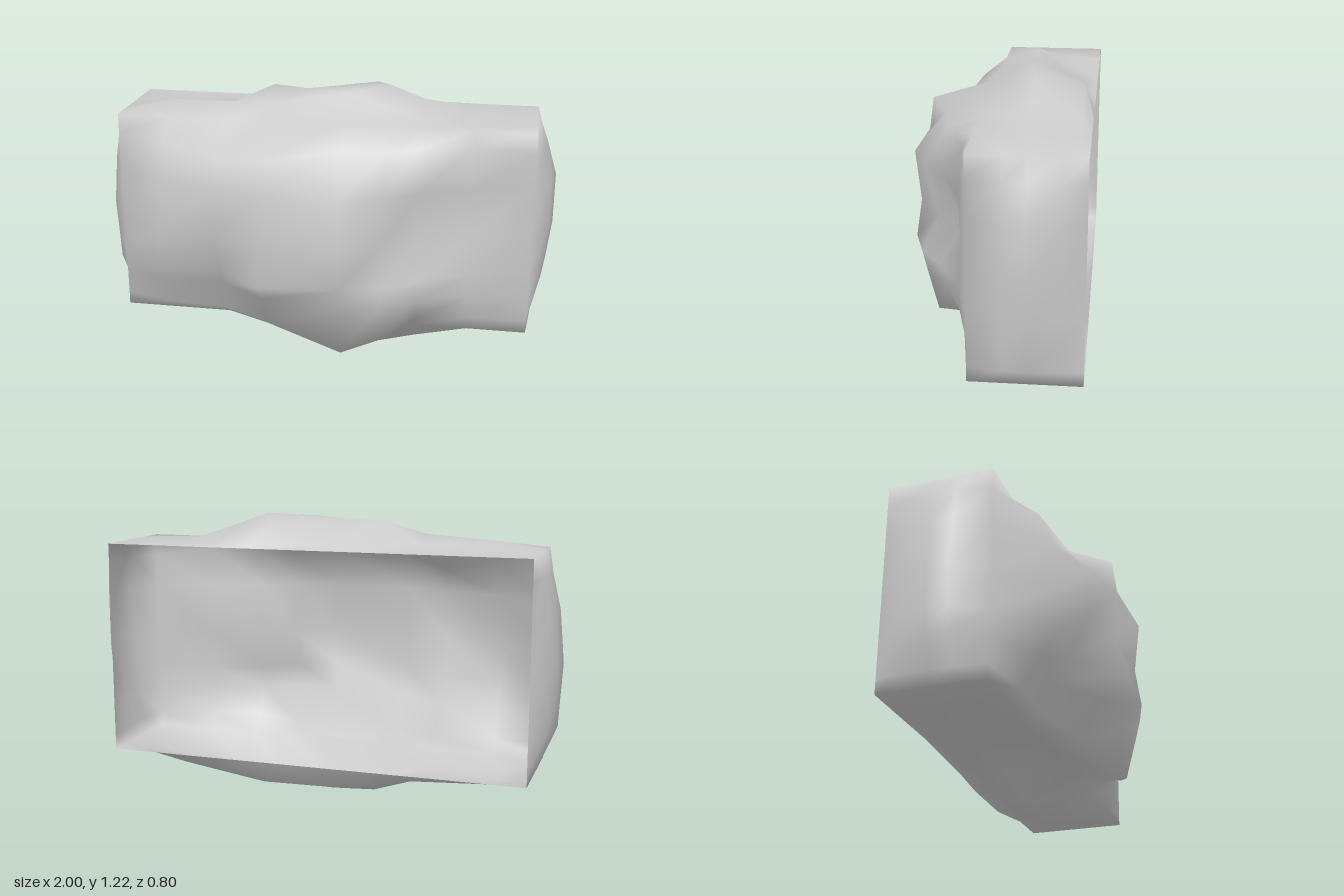
import * as THREE from 'three';
import { mergeGeometries, mergeVertices } from 'three/addons/utils/BufferGeometryUtils.js';

const X = 0.91, TOP = 1.09, BASE = 0.18, FRONT = 0.05, BACK = -0.4;

// Shared edge divisions, so neighbouring faces weld together
const xs = [-X, -0.68, -0.43, -0.22, 0.12, 0.29, 0.43, 0.65, X];
const ys = [TOP, 1.0, 0.85, 0.63, 0.46, 0.36, 0.24, BASE];
const zs = [FRONT, -0.09, -0.18, -0.31, BACK];

// A sheet through rows x cols points; point(r, c) returns [x, y, z].
function panel(rows, cols, point) {
  const pos = [], index = [];
  for (let r = 0; r < rows; r++) {
    for (let c = 0; c < cols; c++) {
      pos.push(...point(r, c));
      if (r === rows - 1 || c === cols - 1) continue;
      const a = r * cols + c, b = a + 1, d = a + cols, e = d + 1;
      index.push(a, d, b, b, d, e);
    }
  }
  const geo = new THREE.BufferGeometry();
  geo.setAttribute('position', new THREE.Float32BufferAttribute(pos, 3));
  geo.setIndex(index);
  return geo;
}

// Front face: depth of the bulge, row by row from the top
function frontFace() {
  const highY = [1.0, 0.96, 1.0, 1.03, 1.02, 1.03, 1.03];
  const lowY = [0.23, 0.22, 0.2, 0.12, 0.19, 0.25, 0.25];
  const bulge = [
    [0.11, 0.16, 0.29, 0.18, 0.14, 0.1, 0.04],
    [0.17, 0.25, 0.31, 0.32, 0.25, 0.16, 0.06],
    [0.2, 0.24, 0.29, 0.295, 0.19, 0.07, 0.05],
    [0.18, 0.16, 0.35, 0.32, 0.27, 0.17, 0.06],
    [0.12, 0.09, 0.23, 0.25, 0.245, 0.15, 0.06],
    [0.05, 0.05, 0.14, 0.215, 0.2, 0.09, 0.04],
  ];
  return panel(8, 9, (r, c) => {
    let y = ys[r];
    if (r === 1) y = highY[c - 1] ?? y;
    if (r === 6) y = lowY[c - 1] ?? y;
    return [xs[c], y, FRONT + (bulge[r - 1]?.[c - 1] ?? 0)];
  });
}

// Top face: inner points as [x, z, rise], row by row from the back
function topFace() {
  const points = [
    [[-0.7, -0.355, 0], [-0.4, -0.355, 0], [-0.22, -0.355, 0], [0, -0.355, 0.02],
      [0.19, -0.355, 0.095], [0.42, -0.355, 0.015], [0.62, -0.355, 0]],
    [[-0.7, -0.2, 0.01], [-0.42, -0.2, 0.02], [-0.25, -0.17, 0.11], [-0.09, -0.115, 0.11],
      [0.27, -0.16, 0.13], [0.42, -0.16, 0.075], [0.6, -0.16, 0.01]],
    [[-0.72, -0.11, 0.035], [-0.41, -0.06, 0.05], [-0.22, -0.04, 0.06], [0.1, -0.055, 0.115],
      [0.27, -0.055, 0.06], [0.42, -0.055, 0.02], [0.6, -0.055, 0]],
  ];
  return panel(5, 9, (r, c) => {
    const [x, z, rise] = points[r - 1]?.[c - 1] ?? [xs[c], zs[4 - r], 0];
    return [x, TOP + rise, z];
  });
}

// Underside: inner points from a drop table, row by row from the front
function underside() {
  const bx = [-0.76, -0.42, -0.23, -0.05, 0.23, 0.4, 0.6];
  const bz = [-0.095, -0.22, -0.335];
  const drop = [
    [0.03, 0.05, 0.12, 0.18, 0.17, 0.125, 0.07],
    [0.04, 0.05, 0.13, 0.14, 0.14, 0.11, 0.07],
    [0.02, 0.04, 0.08, 0.1, 0.105, 0.08, 0.05],
  ];
  return panel(5, 9, (r, c) => {
    const d = drop[r - 1]?.[c - 1];
    return d === undefined ? [xs[c], BASE, zs[r]] : [bx[c - 1], BASE - d, bz[r - 1]];
  });
}

// Side faces: bulge is the product of a vertical and a depth profile
function leftFace() {
  const up = [0, 0.045, 0.09, 0.09, 0.07, 0.055, 0.02, 0], deep = [0, 0.8, 1, 0.62, 0];
  return panel(8, 5, (r, c) => [X + up[r] * deep[c], ys[r], zs[c]]);
}

function rightFace() {
  const up = [0, 0.035, 0.07, 0.09, 0.08, 0.075, 0.025, 0], deep = [0, 0.72, 0.9, 1, 0];
  return panel(8, 5, (r, c) => [-X - up[r] * deep[c], ys[r], zs[4 - c]]);
}

export function createModel() {
  const group = new THREE.Group();
  group.name = 'rock';

  // Weld the five faces into one smooth shell, open at the back
  const shell = mergeVertices(mergeGeometries(
    [frontFace(), topFace(), underside(), leftFace(), rightFace()]));
  shell.computeVertexNormals();
  const mesh = new THREE.Mesh(shell,
    new THREE.MeshStandardMaterial({ color: 0xcccccc, side: THREE.DoubleSide }));
  mesh.name = 'rockShell';
  group.add(mesh);
  return group;
}
